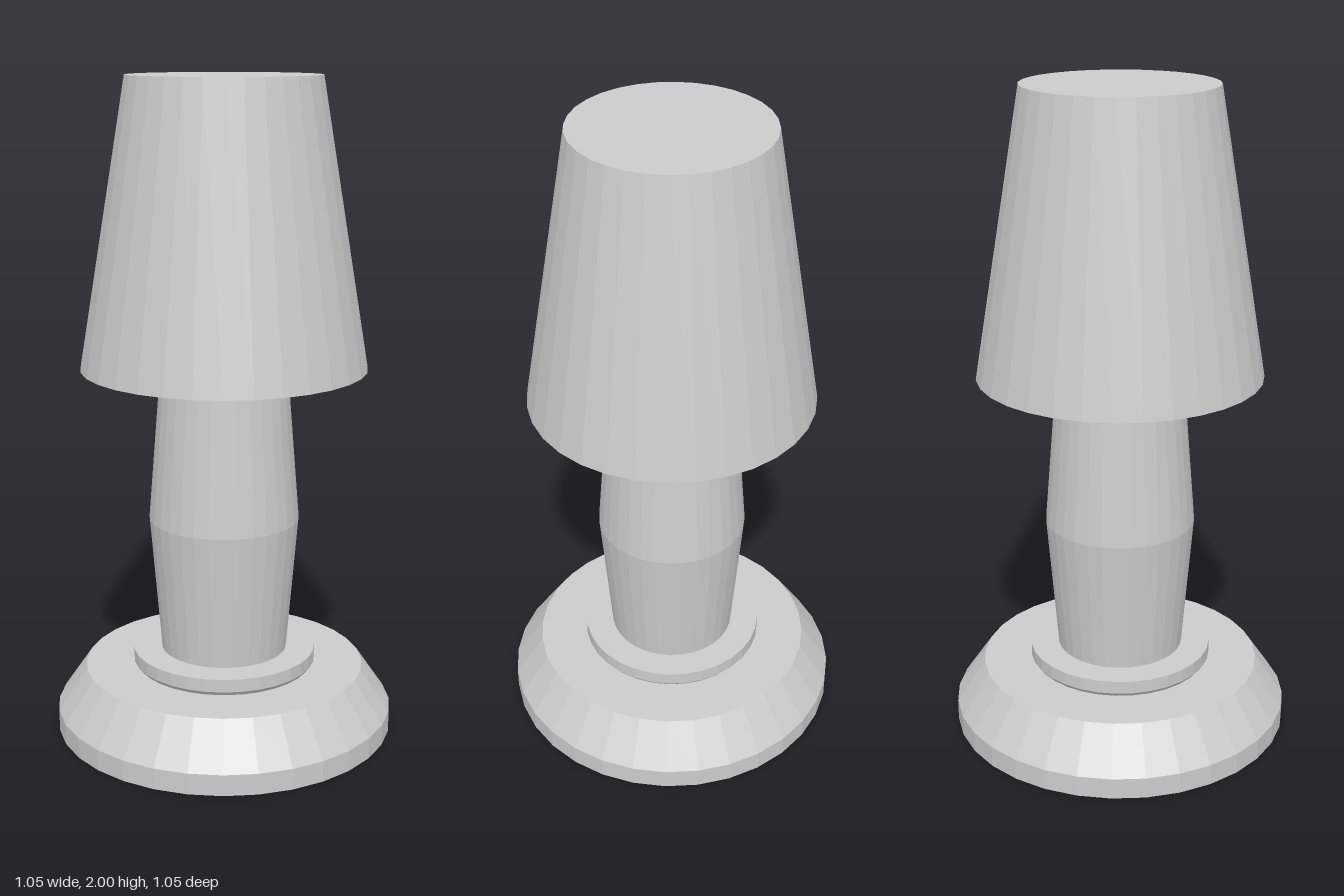
import * as THREE from 'three';

const SIDES = 32;

export function createModel() {
  const lamp = new THREE.Group();
  lamp.name = 'tableLamp';
  const material = new THREE.MeshStandardMaterial({ color: 0xcccccc, flatShading: true });

  const add = (name, geometry) => {
    const mesh = new THREE.Mesh(geometry, material);
    mesh.name = name;
    lamp.add(mesh);
  };
  // Profiles run from bottom to top as [radius, height]
  const turned = (name, profile, sides = SIDES) =>
    add(name, new THREE.LatheGeometry(profile.map(([r, y]) => new THREE.Vector2(r, y)), sides));

  // Base with a bevelled upper edge, and the collar on it
  turned('base', [[0, 0], [0.523, 0], [0.523, 0.065], [0.433, 0.197], [0, 0.197]]);
  turned('collar', [[0.273, 0.197], [0.283, 0.21], [0.283, 0.25], [0, 0.25]]);

  // Column, widest in the middle
  turned('column', [[0.195, 0.25], [0.23, 0.67], [0.19, 1.17], [0, 1.17]]);

  // Socket and bulb under the shade
  turned('socket', [[0.055, 1.17], [0.055, 1.25], [0, 1.25]], 16);
  turned('bulb', [[0.045, 1.25], [0.075, 1.28], [0.092, 1.33], [0.088, 1.38], [0.06, 1.425], [0, 1.445]], 16);

  // Wire harp that carries the shade
  const harp = new THREE.CatmullRomCurve3([
    [-0.13, 1.16], [-0.16, 1.3], [-0.16, 1.65], [-0.1, 1.9], [0, 1.98],
    [0.1, 1.9], [0.16, 1.65], [0.16, 1.3], [0.13, 1.16],
  ].map(([x, y]) => new THREE.Vector3(x, y, 0)));
  add('harp', new THREE.TubeGeometry(harp, 40, 0.014, 8));

  // Hollow shade with a closed top: inside, rim, outside, top
  turned('shade', [[0, 1.988], [0.278, 1.988], [0.42, 1.14], [0.432, 1.14], [0.288, 2], [0, 2]]);

  return lamp;
}
